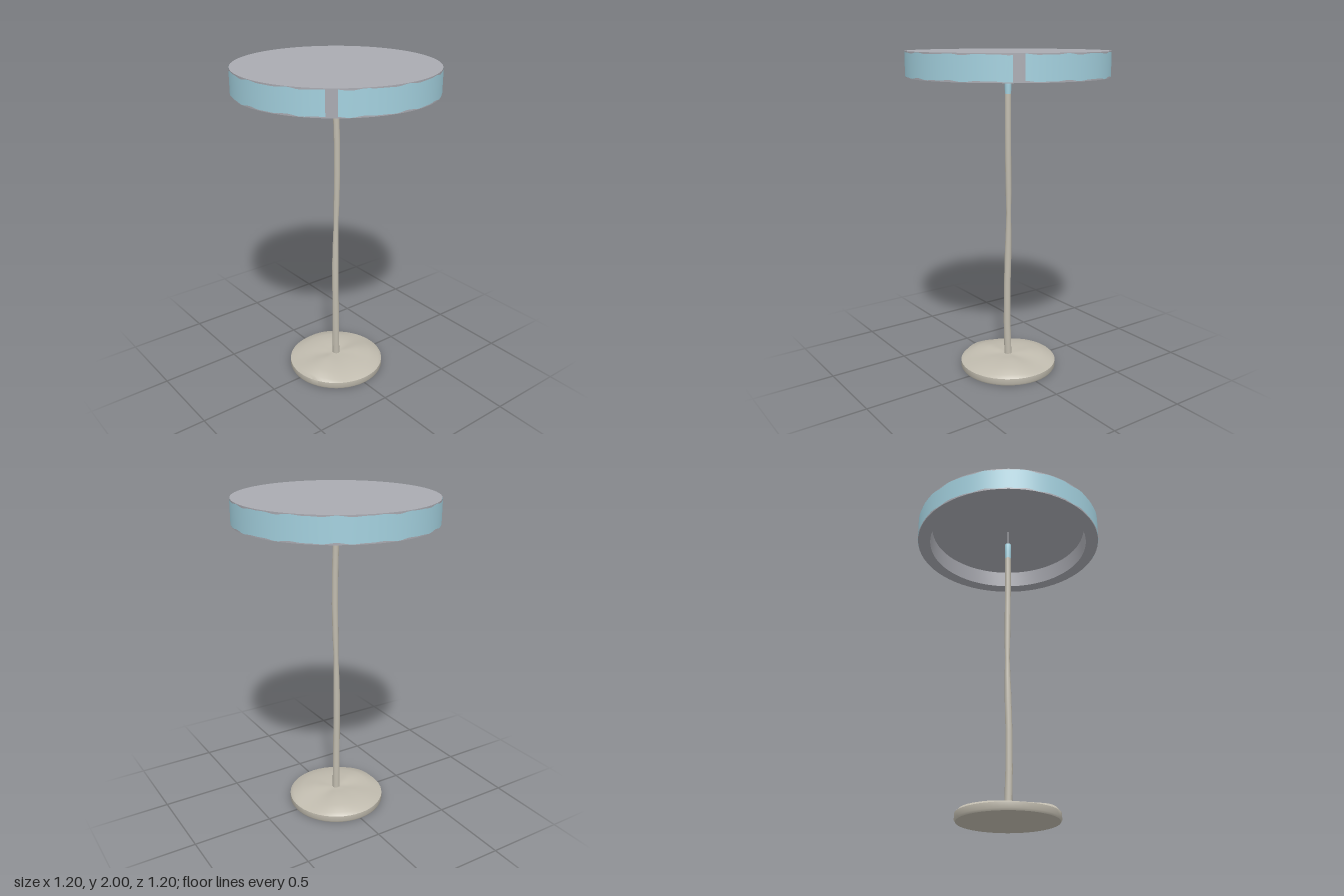
import * as THREE from 'three';
import { toCreasedNormals } from 'three/addons/utils/BufferGeometryUtils.js';

const mat = (name, color, side = THREE.FrontSide) => new THREE.MeshStandardMaterial({ name, color, side });
const blue = mat('pale blue', 0xa3d0de, THREE.DoubleSide);
const grey = mat('cool grey', 0xa9aab1);
const beige = mat('warm beige', 0xc0bbae);

const lathe = (points, segments) =>
  new THREE.LatheGeometry(points.map(([r, y]) => new THREE.Vector2(r, y)), segments);

// Moves every vertex of a geometry by a rule
function warp(geometry, rule) {
  const p = geometry.attributes.position;
  const v = new THREE.Vector3();
  for (let i = 0; i < p.count; i++) {
    rule(v.fromBufferAttribute(p, i));
    p.setXYZ(i, v.x, v.y, v.z);
  }
  geometry.computeVertexNormals();
  return geometry;
}

export function createModel() {
  const model = new THREE.Group();
  model.name = 'pedestalTable';
  const add = (name, geometry, material) => {
    const mesh = new THREE.Mesh(geometry, material);
    mesh.name = name;
    model.add(mesh);
  };

  // Round top with a hollow underside
  const top = lathe([[0, 1.96], [0.51, 1.96], [0.52, 1.85], [0.6, 1.85], [0.6, 2], [0, 2]], 72);
  add('tableTop', toCreasedNormals(top, 0.6), grey);

  // Painted band in two arcs, leaving two worn grey gaps
  const deg = Math.PI / 180;
  for (const [start, end] of [[53, 147], [153, 407]]) {
    const band = new THREE.CylinderGeometry(0.602, 0.602, 0.136, end - start >> 1, 1, true,
      start * deg, (end - start) * deg);
    band.translate(0, 1.925, 0);
    const p = band.attributes.position;
    for (let i = 0; i < p.count; i++) {
      const a = Math.atan2(p.getX(i), p.getZ(i));
      p.setY(i, p.getY(i) + 0.003 * Math.sin(a * 17) + 0.002 * Math.sin(a * 29));
    }
    add('paintedBand', band, blue);
  }

  // Slightly bent, uneven pole
  const heights = [0.06, 0.3, 0.55, 0.75, 0.9, 1.02, 1.15, 1.35, 1.55, 1.75];
  const radii = [0.023, 0.022, 0.021, 0.021, 0.018, 0.015, 0.018, 0.019, 0.019, 0.019];
  const pole = warp(lathe(heights.map((y, i) => [radii[i], y]), 14), (v) => {
    const t = (v.y - 0.06) / 1.69;
    v.x += 0.004 * Math.sin(t * Math.PI * 3);
    v.z += 0.006 * Math.sin(t * Math.PI * 2);
  });
  add('pole', pole, beige);

  // Painted pole end and the thin pin reaching the top
  add('poleCollar', lathe([[0.019, 1.75], [0.02, 1.8], [0.019, 1.86], [0, 1.872]], 14), blue);
  add('polePin', lathe([[0.004, 1.86], [0.004, 1.97]], 8), grey);

  // Lumpy round foot, flat underneath
  const foot = lathe([[0, 0], [0.298, 0], [0.305, 0.012], [0.304, 0.045], [0.285, 0.058],
    [0.22, 0.073], [0.14, 0.086], [0.07, 0.082], [0, 0.08]], 48);
  warp(foot, (v) => {
    const r = Math.hypot(v.x, v.z);
    const a = Math.atan2(v.x, v.z);
    if (v.y > 0.05) v.y += 0.006 * Math.min(1, r / 0.15) * (Math.sin(a * 3 + 0.5) + 0.4 * Math.sin(a * 5));
  });
  add('foot', toCreasedNormals(foot, 0.7), beige);

  return model;
}
